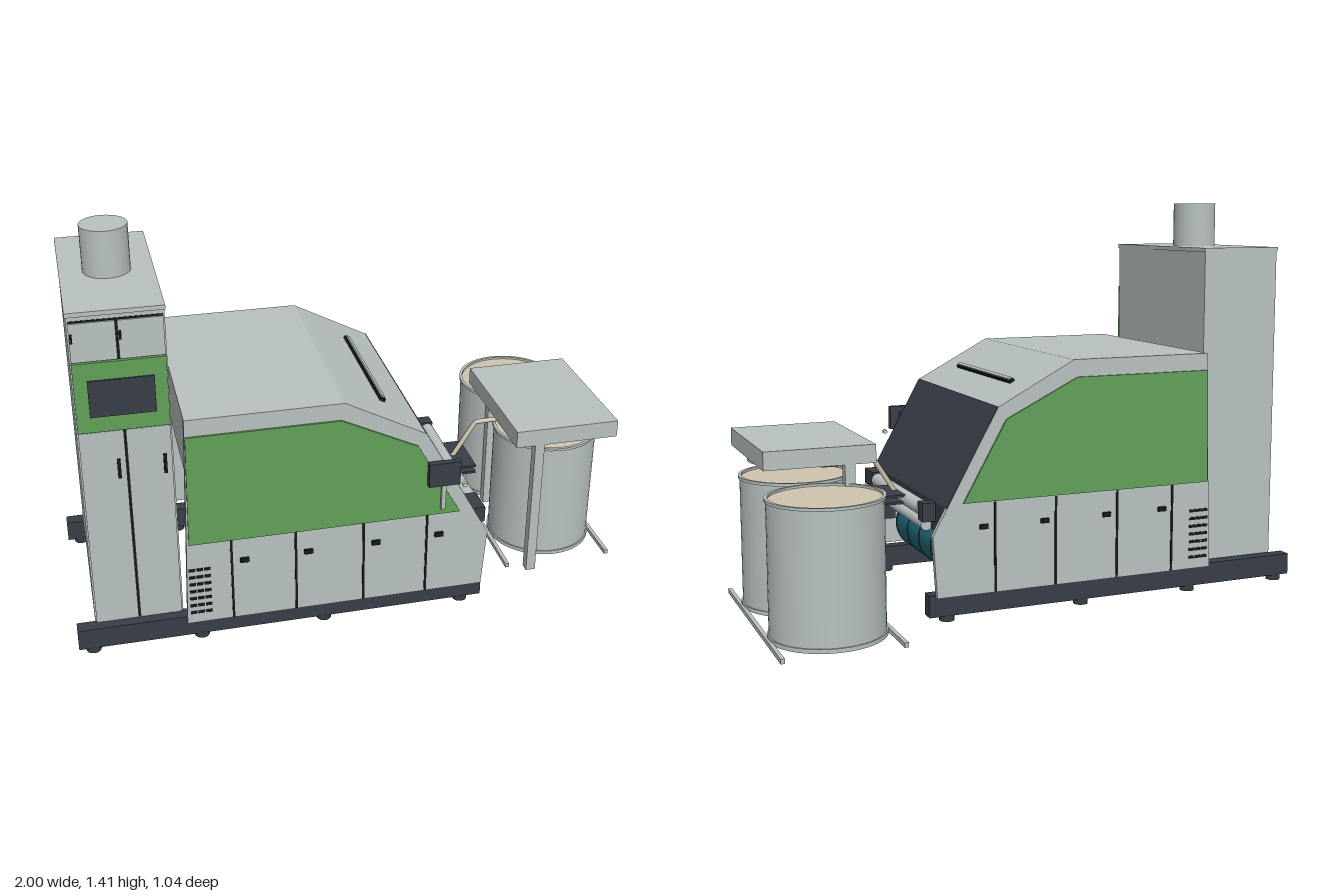
import * as THREE from 'three';

const mat = (name, color) => new THREE.MeshStandardMaterial({ name, color });

export function createModel() {
  const light = mat('lightGrey', 0xb8c2c0), green = mat('green', 0x62a058), dark = mat('darkSlate', 0x383d47);
  const black = mat('black', 0x15181c), teal = mat('teal', 0x1f6a7a), beige = mat('beige', 0xcfc4ae);
  const root = new THREE.Group();
  const MID = 0.078; // z of the machine's centre line

  const add = (parent, name, geo, m, x = 0, y = 0, z = 0) => {
    const mesh = new THREE.Mesh(geo, m);
    mesh.name = name;
    mesh.position.set(x, y, z);
    parent.add(mesh);
    return mesh;
  };
  // box given by its limits
  const box = (parent, name, m, x0, x1, y0, y1, z0, z1) =>
    add(parent, name, new THREE.BoxGeometry(x1 - x0, y1 - y0, z1 - z0), m,
      (x0 + x1) / 2, (y0 + y1) / 2, (z0 + z1) / 2);
  const group = (name) => {
    const g = new THREE.Group();
    g.name = name;
    root.add(g);
    return g;
  };
  // extruded outline in the xy plane between two z values
  const plate = (parent, name, m, pts, z0, z1) => {
    const shape = new THREE.Shape(pts.map((p) => new THREE.Vector2(p[0], p[1])));
    return add(parent, name, new THREE.ExtrudeGeometry(shape, { depth: z1 - z0, bevelEnabled: false }), m, 0, 0, z0);
  };
  const upright = (parent, name, m, r, y0, y1, x, z, seg = 40) =>
    add(parent, name, new THREE.CylinderGeometry(r, r, y1 - y0, seg), m, x, (y0 + y1) / 2, z);
  const roller = (parent, name, m, r, x, y, z0, z1) => {
    const c = add(parent, name, new THREE.CylinderGeometry(r, r, z1 - z0, 36), m, x, y, (z0 + z1) / 2);
    c.rotation.x = Math.PI / 2;
    return c;
  };

  // base rails and feet
  const base = group('base');
  for (const z of [0.425, -0.268]) {
    box(base, 'baseRail', dark, -1, 0.435, 0.02, 0.097, z - 0.024, z + 0.024);
    for (const x of [-0.95, -0.575, -0.14, 0.365]) upright(base, 'foot', dark, 0.026, 0, 0.022, x, z, 20);
  }

  // tall cabinet with chimney
  const cabinet = group('cabinet');
  box(cabinet, 'cabinetBody', light, -0.937, -0.635, 0.1, 1.24, -0.255, 0.408);
  box(cabinet, 'cabinetRoof', light, -0.94, -0.632, 1.235, 1.25, -0.258, 0.415);
  box(cabinet, 'cabinetFloor', teal, -0.92, -0.65, 0.095, 0.1, -0.235, 0.39);
  upright(cabinet, 'chimney', light, 0.079, 1.25, 1.41, -0.785, 0.08);
  box(cabinet, 'doorGap', black, -0.932, -0.64, 0.1, 1.22, 0.408, 0.41);
  for (const [x0, x1] of [[-0.932, -0.789], [-0.782, -0.64]]) {
    box(cabinet, 'lowerDoor', light, x0, x1, 0.1, 0.833, 0.408, 0.416);
    box(cabinet, 'upperDoor', light, x0, x1, 1.083, 1.214, 0.408, 0.416);
    box(cabinet, 'doorHandle', black, x1 - 0.029, x1 - 0.018, 0.66, 0.73, 0.414, 0.423);
    box(cabinet, 'doorLatch', black, x0 + 0.002, x0 + 0.01, 1.15, 1.18, 0.414, 0.42);
  }
  box(cabinet, 'controlPanel', green, -0.933, -0.639, 0.837, 1.08, 0.408, 0.422);
  box(cabinet, 'controlScreen', dark, -0.89, -0.68, 0.893, 1.02, 0.42, 0.428);

  // machine housing: side walls, cover, doors on both sides
  const housing = group('housing');
  const wall = [[-0.605, 0.88], [-0.08, 0.88], [0.2, 0.732], [0.435, 0.31], [0.42, 0.097], [-0.63, 0.097], [-0.618, 0.45]];
  const window = [[-0.605, 0.82], [-0.092, 0.82], [0.172, 0.69], [0.328, 0.415], [-0.612, 0.415]];
  const gaps = [-0.47, -0.25, -0.013, 0.212];
  for (const s of [1, -1]) {
    const side = new THREE.Group();
    side.name = s > 0 ? 'frontSide' : 'rearSide';
    housing.add(side);
    // limits measured outward from the centre line
    const span = (a, b) => (s > 0 ? [MID + a, MID + b] : [MID - b, MID - a]);
    plate(side, 'sideWall', light, wall, ...span(0.39, 0.41));
    plate(side, 'sidePanel', green, window, ...span(0.409, 0.417));
    gaps.forEach((x) => {
      box(side, 'doorGap', black, x - 0.004, x + 0.004, 0.1, 0.412, ...span(0.409, 0.413));
      box(side, 'doorHandle', black, x + 0.028, x + 0.058, 0.322, 0.338, ...span(0.409, 0.42));
    });
    for (let i = 0; i < 7; i++) {
      for (let j = 0; j < 3; j++) {
        const x = -0.617 + j * 0.026, y = 0.135 + i * 0.0285;
        box(side, 'ventSlot', black, x, x + 0.022, y, y + 0.01, ...span(0.409, 0.413));
      }
    }
  }
  const zA = MID - 0.392, zB = MID + 0.392;
  plate(housing, 'topCover', light, [[-0.605, 0.88], [-0.08, 0.88], [0.2, 0.732], [0.188, 0.715], [-0.085, 0.86], [-0.605, 0.86]], zA, zB);
  plate(housing, 'frontCover', dark, [[0.2, 0.734], [0.385, 0.402], [0.385, 0.3], [0.365, 0.3], [0.365, 0.395], [0.182, 0.724]], MID - 0.408, MID + 0.408);
  box(housing, 'backPlate', light, -0.605, -0.59, 0.66, 0.87, zA, zB);
  const grip = add(housing, 'coverHandle', new THREE.BoxGeometry(0.02, 0.012, 0.52), black, 0.087, 0.797, 0.08);
  grip.rotation.z = Math.atan2(-0.148, 0.28);
  add(housing, 'coverHandleBar', new THREE.BoxGeometry(0.012, 0.012, 0.5), light, 0.089, 0.802, 0.08).rotation.z = grip.rotation.z;

  // swivel screen at the front corner
  const terminal = group('operatorScreen');
  box(terminal, 'screenCase', dark, 0.205, 0.315, 0.54, 0.628, 0.497, 0.52);
  box(terminal, 'screenMount', dark, 0.24, 0.28, 0.565, 0.605, 0.485, 0.5);
  box(terminal, 'screenGrip', light, 0.255, 0.27, 0.44, 0.542, 0.495, 0.508);
  roller(terminal, 'button', beige, 0.008, 0.335, 0.53, 0.5, 0.515);

  // drums inside the housing
  const drums = group('drums');
  roller(drums, 'mainDrum', dark, 0.26, -0.22, 0.55, zA, zB);
  roller(drums, 'lowerDrum', dark, 0.12, -0.02, 0.25, zA, zB);
  roller(drums, 'rearDrum', dark, 0.09, -0.3, 0.22, zA, zB);
  roller(drums, 'drumShaft', light, 0.025, -0.45, 0.2, zA, zB);
  roller(drums, 'deliveryDrum', teal, 0.105, 0.24, 0.205, -0.18, 0.34);
  for (const z of [-0.18, -0.05, 0.08, 0.21, 0.34]) roller(drums, 'drumRing', dark, 0.107, 0.24, 0.205, z - 0.004, z + 0.004);
  roller(drums, 'deliveryShaft', light, 0.03, 0.3, 0.25, -0.3, 0.46);

  // delivery rollers and their motors
  const delivery = group('delivery');
  roller(delivery, 'deliveryRoller', light, 0.026, 0.41, 0.37, -0.17, 0.36);
  roller(delivery, 'lowerRoller', light, 0.022, 0.4, 0.315, -0.17, 0.36);
  box(delivery, 'upperMotor', dark, 0.375, 0.43, 0.343, 0.4, 0.365, 0.468);
  box(delivery, 'lowerMotor', dark, 0.34, 0.415, 0.215, 0.295, 0.37, 0.468);
  box(delivery, 'rollerBearing', dark, 0.385, 0.432, 0.335, 0.4, -0.22, -0.17);
  for (const y of [0.362, 0.387]) box(delivery, 'guidePlate', dark, 0.41, 0.497, y - 0.004, y + 0.004, -0.02, 0.17);

  // fibre strand led up to the coiler
  const path = new THREE.CurvePath();
  const pts = [[0.4, 0.36], [0.435, 0.385], [0.52, 0.52], [0.7, 0.525]].map((p) => new THREE.Vector3(p[0], p[1], 0.075));
  for (let i = 0; i < pts.length - 1; i++) path.add(new THREE.LineCurve3(pts[i], pts[i + 1]));
  add(delivery, 'fibreStrand', new THREE.TubeGeometry(path, 40, 0.009, 8), beige);

  // coiler table on two posts
  const coiler = group('coiler');
  box(coiler, 'coilerTable', light, 0.582, 0.963, 0.547, 0.61, -0.188, 0.342);
  for (const z of [0.322, -0.17]) box(coiler, 'coilerPost', light, 0.655, 0.69, 0.012, 0.55, z - 0.017, z + 0.017);
  upright(coiler, 'coilerPlate', light, 0.178, 0.532, 0.548, 0.78, 0.075);
  upright(coiler, 'coilerHub', dark, 0.04, 0.515, 0.533, 0.8, 0.075, 24);
  box(coiler, 'strandGuide', dark, 0.65, 0.71, 0.497, 0.535, 0.05, 0.1);
  for (const x of [0.593, 0.99]) box(coiler, 'floorRail', light, x - 0.007, x + 0.007, 0.012, 0.028, -0.525, 0.305);

  // cans: open-topped shell, rims, fibre filling, casters
  for (const z of [0.08, -0.326]) {
    const can = new THREE.Group();
    can.name = 'can';
    can.position.set(0.795, 0, z);
    root.add(can);
    const profile = [[0, 0.022], [0.195, 0.022], [0.195, 0.036], [0.19, 0.036], [0.19, 0.472], [0.195, 0.472],
      [0.195, 0.482], [0.184, 0.482], [0.184, 0.468]];
    // each profile segment is a separate ring so its edges stay sharp
    for (let i = 0; i < profile.length - 1; i++) {
      const seg = [profile[i], profile[i + 1]].map((p) => new THREE.Vector2(p[0], p[1]));
      add(can, 'canShell', new THREE.LatheGeometry(seg, 48), light);
    }
    upright(can, 'fibreFilling', beige, 0.185, 0.45, 0.474, 0, 0, 48);
    for (let i = 0; i < 4; i++) {
      const a = Math.PI / 4 + (i * Math.PI) / 2;
      upright(can, 'caster', dark, 0.016, 0.002, 0.023, 0.11 * Math.cos(a), 0.11 * Math.sin(a), 16);
    }
  }
  return root;
}
